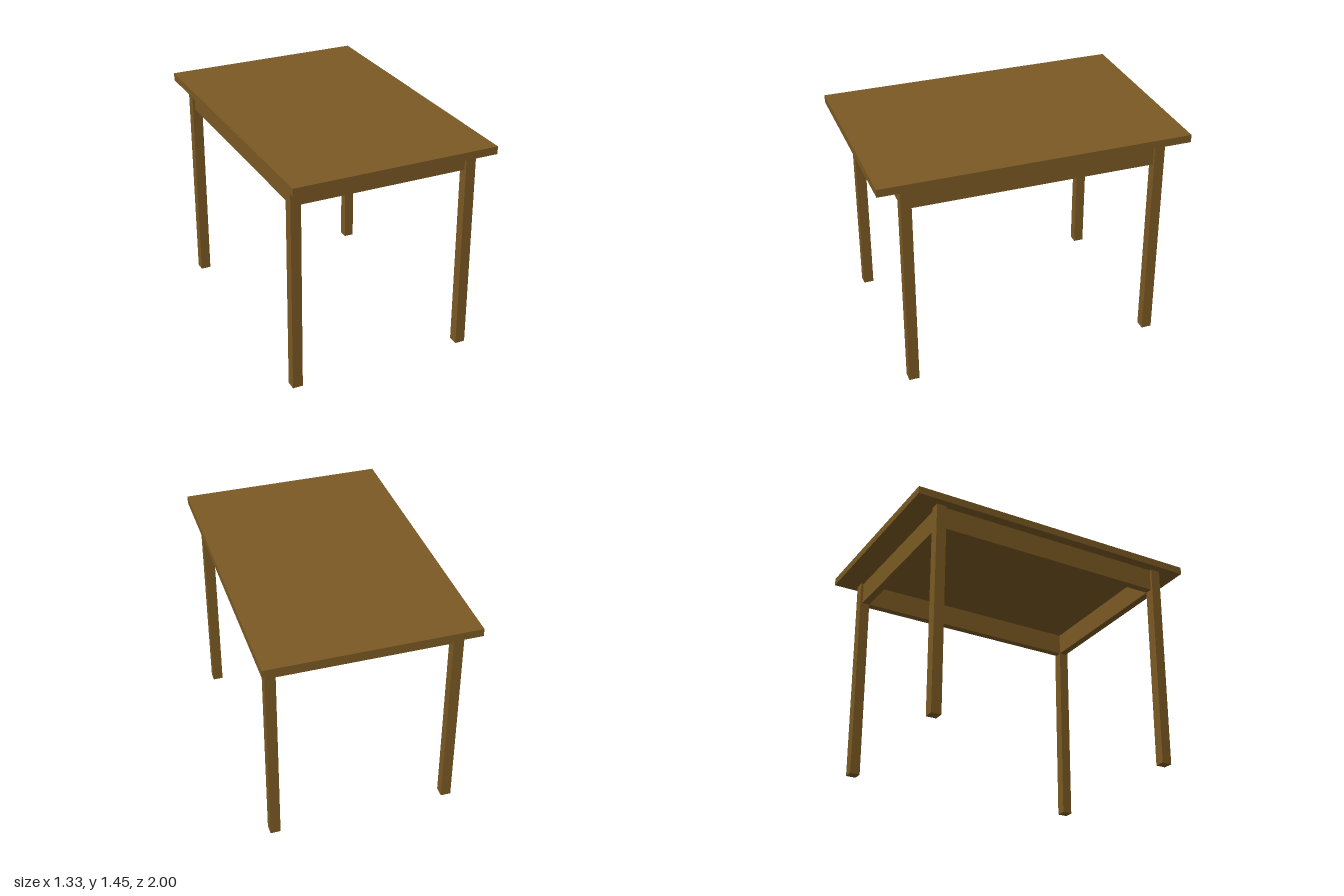
import * as THREE from 'three';

export function createModel() {
  const table = new THREE.Group();
  table.name = 'table';
  const wood = new THREE.MeshStandardMaterial({ color: 0x7a5923 });
  wood.name = 'brown wood';

  const addBox = (name, size, position) => {
    const mesh = new THREE.Mesh(new THREE.BoxGeometry(...size), wood);
    mesh.name = name;
    mesh.position.set(...position);
    table.add(mesh);
  };

  const legHeight = 1.4, legWidth = 0.0667;
  const legX = 0.5833, legZ = 0.8167; // leg centres
  const apronHeight = 0.15, apronThickness = 0.05;
  const apronY = legHeight - apronHeight / 2;
  const inset = (legWidth - apronThickness) / 2; // aprons sit flush with the legs' inner faces

  // Table top
  addBox('tableTop', [1.3333, 0.05, 2], [0, legHeight + 0.025, 0]);

  for (const side of [-1, 1]) {
    const sideName = side > 0 ? 'left' : 'right';
    const endName = side > 0 ? 'front' : 'back';

    // Aprons between the legs
    addBox(sideName + 'Apron', [apronThickness, apronHeight, 2 * legZ - legWidth],
      [side * (legX - inset), apronY, 0]);
    addBox(endName + 'Apron', [2 * legX - legWidth, apronHeight, apronThickness],
      [0, apronY, side * (legZ - inset)]);

    // Square legs
    for (const end of [-1, 1]) {
      addBox((end > 0 ? 'front' : 'back') + (side > 0 ? 'Left' : 'Right') + 'Leg',
        [legWidth, legHeight, legWidth], [side * legX, legHeight / 2, end * legZ]);
    }
  }
  return table;
}
